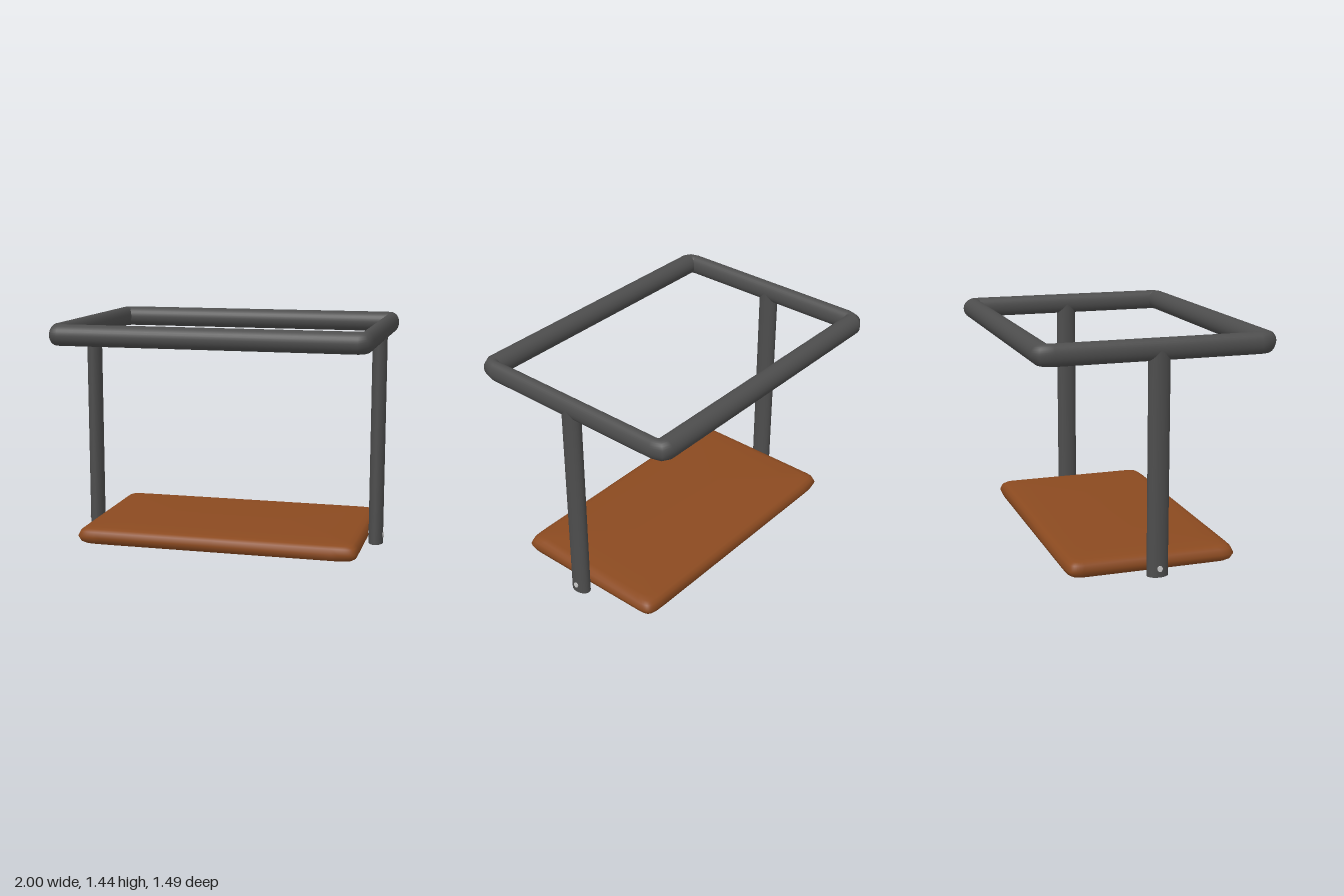
import * as THREE from 'three';

const R = 0.066;              // tube radius
const BEND = 0.052;           // bend radius of the frame corners
const SQUASH = 0.7;           // tubes are narrower across x
const CX = 0.949 / SQUASH, CZ = 0.681, TOP = 1.375; // frame centreline
const MID = 0.067;            // seat mid height

// Closed cushion-like board lofted from soft-cornered rectangular loops
function seatGeometry() {
  const half = [[1, 0.064], [0.5, 0.063], [0.2, 0.06], [0.07, 0.055], [0.035, 0.048], [0.014, 0.033]];
  const rings = [
    ...half.map(([inset, h]) => [inset, h]),
    [0, 0],
    ...half.map(([inset, h]) => [inset, -h]).reverse(),
  ];
  const n = 64, pos = [], index = [];
  const soft = (v) => Math.abs(v) < 1e-6 ? 0 : Math.sign(v) * Math.abs(v) ** (1 / 12);
  for (const [inset, h] of rings) {
    const ax = inset === 1 ? 0 : 0.905 - inset, az = inset === 1 ? 0 : 0.537 - inset;
    for (let i = 0; i < n; i++) {
      const t = (i / n) * Math.PI * 2;
      pos.push(ax * soft(Math.cos(t)), MID + h, az * soft(Math.sin(t)));
    }
  }
  for (let j = 0; j < rings.length - 1; j++) {
    for (let i = 0; i < n; i++) {
      const k = (i + 1) % n;
      const a = j * n + i, b = j * n + k, c = a + n, d = b + n;
      if (j > 0) index.push(a, b, c);
      if (j < rings.length - 2) index.push(b, d, c);
    }
  }
  const g = new THREE.BufferGeometry();
  g.setAttribute('position', new THREE.Float32BufferAttribute(pos, 3));
  g.setIndex(index);
  g.computeVertexNormals();
  return g;
}

export function createModel() {
  const model = new THREE.Group();
  const metal = new THREE.MeshStandardMaterial({ color: 0x4d4d4d });
  const leather = new THREE.MeshStandardMaterial({ color: 0x8b4a20 });
  const steel = new THREE.MeshStandardMaterial({ color: 0xcccccc });

  const add = (parent, name, geometry, material, x = 0, y = 0, z = 0) => {
    const mesh = new THREE.Mesh(geometry, material);
    mesh.name = name;
    mesh.position.set(x, y, z);
    parent.add(mesh);
    return mesh;
  };

  // Tubular frame, built round and then narrowed across x
  const frame = new THREE.Group();
  frame.name = 'frame';
  frame.scale.x = SQUASH;
  model.add(frame);

  const px = CX - BEND, pz = CZ - BEND; // bend pivots
  const tube = (length) => new THREE.CylinderGeometry(R, R, length, 32, 1, true);
  const postBottom = 0.012;
  for (const s of [1, -1]) {
    const side = s > 0 ? 'left' : 'right';
    add(frame, s > 0 ? 'frontRail' : 'backRail', tube(px * 2).rotateZ(Math.PI / 2), metal, 0, TOP, s * CZ);
    add(frame, side + 'Rail', tube(pz * 2).rotateX(Math.PI / 2), metal, s * CX, TOP, 0);
    const post = new THREE.CylinderGeometry(R, R, TOP - postBottom, 32);
    add(frame, side + 'Post', post, metal, s * CX, (TOP + postBottom) / 2, 0);
  }

  // Bevelled corner elbows
  const elbow = new THREE.TorusGeometry(BEND, R, 32, 2, Math.PI / 2).rotateX(Math.PI / 2);
  [[1, 1], [1, -1], [-1, -1], [-1, 1]].forEach(([sx, sz], k) => {
    add(frame, 'cornerElbow', elbow, metal, sx * px, TOP, sz * pz).rotation.y = k * Math.PI / 2;
  });

  // Seat board between the posts
  add(model, 'seat', seatGeometry(), leather);

  // Bolts through the post feet
  for (const s of [1, -1]) {
    const bolt = new THREE.CylinderGeometry(0.019, 0.019, 0.12, 16).rotateZ(Math.PI / 2);
    add(model, s > 0 ? 'leftBolt' : 'rightBolt', bolt, steel, s * 0.94, MID, 0).scale.z = 0.85;
  }
  return model;
}
